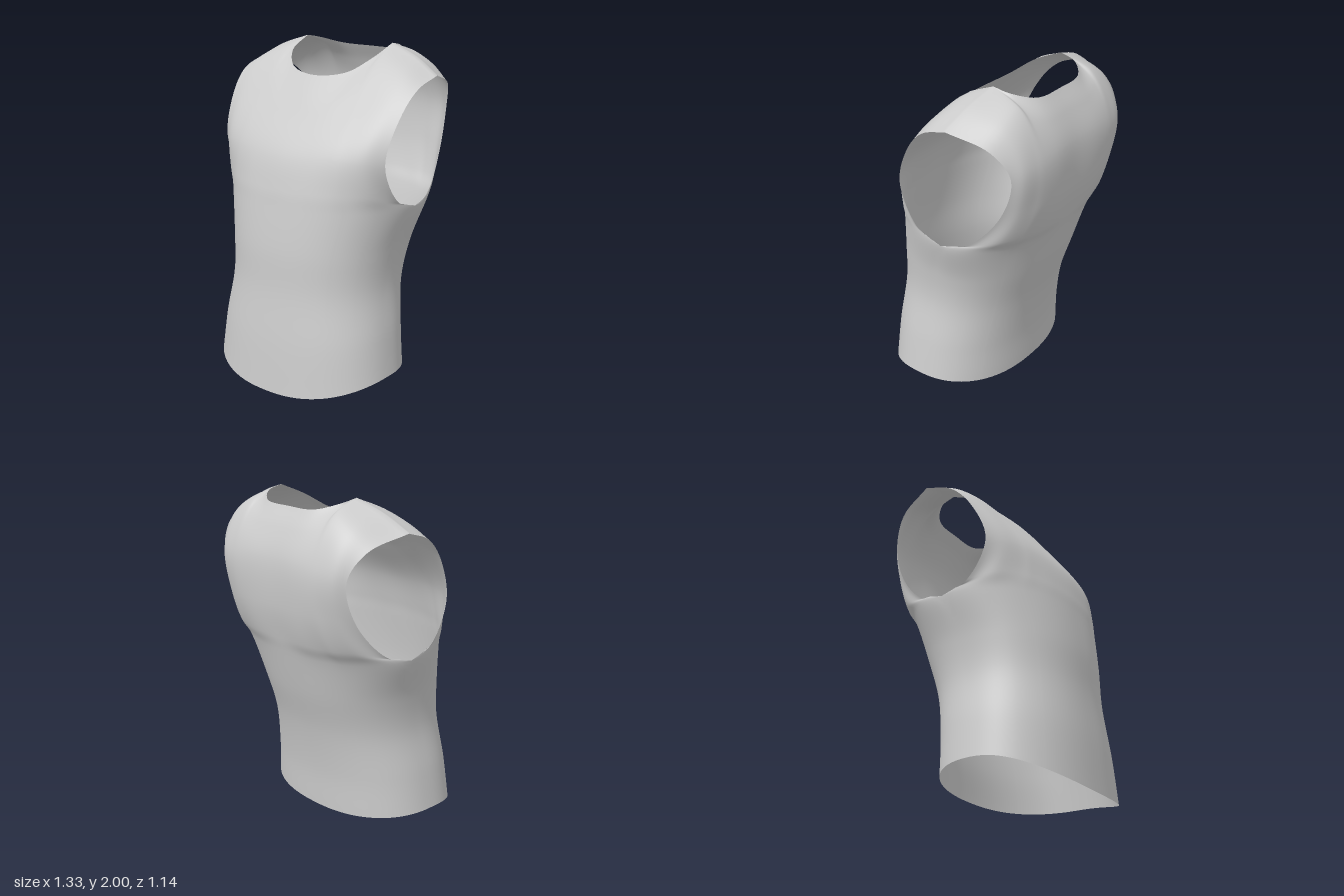
import * as THREE from 'three';
import { mergeGeometries, mergeVertices } from 'three/addons/utils/BufferGeometryUtils.js';

// Ring angles of the lengthwise columns, from one side seam to the other
const HALF = [90, 62, 40, 32, 18];
const ANGLES = [...HALF.map(a => -a), 0, ...HALF.slice().reverse()];
const SPANS = ANGLES.length - 1;

// Body rings, hem to armpit: side y, front y, back y, half width, side z, front z, back z
const RINGS = [
  [0.115, 0.0, 0.08, 0.60, 0.14, 0.57, -0.28],
  [0.35, 0.30, 0.33, 0.568, 0.12, 0.548, -0.297],
  [0.63, 0.61, 0.61, 0.525, 0.07, 0.515, -0.347],
  [0.86, 0.86, 0.86, 0.545, 0.02, 0.503, -0.422],
  [1.11, 1.11, 1.11, 0.61, -0.07, 0.472, -0.49],
];

// Yoke rows, armpit to shoulder: each from the armhole edge to the centre line
const FRONT = [
  [[.605, 1.17, .10], [.535, 1.21, .26], [.41, 1.22, .36], [.34, 1.22, .395], [.21, 1.22, .435], [0, 1.22, .455]],
  [[.60, 1.40, .22], [.51, 1.42, .29], [.39, 1.43, .335], [.32, 1.43, .355], [.20, 1.42, .38], [0, 1.41, .40]],
  [[.63, 1.65, .13], [.53, 1.68, .15], [.38, 1.69, .17], [.31, 1.67, .195], [.19, 1.63, .24], [0, 1.62, .255]],
  [[.652, 1.79, 0], [.53, 1.86, -.02], [.36, 1.91, -.03], [.31, 1.84, .05], [.20, 1.75, .14], [0, 1.73, .175]],
  [[.665, 1.85, -.17], [.50, 1.94, -.20], [.32, 2, -.22], [.30, 1.93, -.06], [.20, 1.85, .05], [0, 1.82, .10]],
];
const BACK = [
  [[.585, 1.16, -.24], [.51, 1.20, -.40], [.40, 1.20, -.47], [.33, 1.20, -.49], [.20, 1.20, -.515], [0, 1.20, -.515]],
  [[.535, 1.38, -.43], [.47, 1.40, -.50], [.38, 1.40, -.535], [.32, 1.40, -.55], [.20, 1.40, -.56], [0, 1.40, -.555]],
  [[.53, 1.62, -.49], [.47, 1.65, -.53], [.37, 1.66, -.55], [.31, 1.66, -.558], [.19, 1.66, -.563], [0, 1.66, -.555]],
  [[.59, 1.77, -.40], [.48, 1.86, -.42], [.35, 1.92, -.42], [.31, 1.87, -.46], [.19, 1.83, -.495], [0, 1.83, -.495]],
  [[.665, 1.85, -.17], [.50, 1.94, -.20], [.32, 2, -.22], [.305, 1.98, -.32], [.20, 1.945, -.415], [0, 1.94, -.43]],
];

// Smooth curve through points, with corners at the given indices
function spline(points, corners = []) {
  const stops = [0, ...corners, points.length - 1];
  const pieces = stops.slice(1).map((b, i) => ({
    a: stops[i], b, curve: new THREE.CatmullRomCurve3(points.slice(stops[i], b + 1)),
  }));
  return k => {
    const { a, b, curve } = pieces.find(p => k <= p.b);
    return curve.getPoint((k - a) / (b - a));
  };
}

// Rounded half ring, front or back
function ringRow([ySide, yFront, yBack, w, zSide, zFront, zBack], front) {
  return k => {
    const i = Math.min(Math.floor(k), SPANS - 1);
    const t = THREE.MathUtils.degToRad(THREE.MathUtils.lerp(ANGLES[i], ANGLES[i + 1], k - i));
    const s = Math.sin(t);
    const bulge = Math.pow(Math.max(Math.cos(t), 1e-9), 0.87);
    return new THREE.Vector3(
      w * Math.sign(s) * Math.pow(Math.abs(s), 0.87),
      ySide + ((front ? yFront : yBack) - ySide) * bulge * bulge,
      zSide + ((front ? zFront : zBack) - zSide) * bulge);
  };
}

// Mirrored yoke row; the last one has corners at the neck points
function yokeRow(half, isTop) {
  const left = half.map(p => new THREE.Vector3(-p[0], p[1], p[2]));
  const right = half.slice(0, -1).reverse().map(p => new THREE.Vector3(...p));
  return spline([...left, ...right], isTop ? [2, 8] : []);
}

// One cloth panel from hem to shoulder
function panel(yoke, front) {
  const nu = SPANS * 7, nv = 72;
  const rows = [
    ...RINGS.map(r => ringRow(r, front)),
    ...yoke.map((r, i) => yokeRow(r, i === yoke.length - 1)),
  ];
  const armpit = RINGS.length - 1;
  const position = [], index = [];
  for (let i = 0; i <= nu; i++) {
    const edge = i === 0 || i === nu;
    const column = spline(rows.map(row => row(i / nu * SPANS)), edge ? [armpit] : []);
    for (let j = 0; j <= nv; j++) position.push(...column(j / nv * (rows.length - 1)).toArray());
  }
  for (let i = 0; i < nu; i++) {
    for (let j = 0; j < nv; j++) {
      const a = i * (nv + 1) + j, b = a + nv + 1;
      if (front) index.push(a, b, b + 1, a, b + 1, a + 1);
      else index.push(a, b + 1, b, a, a + 1, b + 1);
    }
  }
  const geometry = new THREE.BufferGeometry();
  geometry.setAttribute('position', new THREE.Float32BufferAttribute(position, 3));
  geometry.setIndex(index);
  return geometry;
}

export function createModel() {
  const cloth = new THREE.MeshStandardMaterial({ color: 0xcccccc, side: THREE.DoubleSide });
  cloth.name = 'light grey cloth';

  // Front and back sewn together along the sides and shoulders
  const geometry = mergeVertices(mergeGeometries([panel(FRONT, true), panel(BACK, false)]), 1e-4);
  geometry.computeVertexNormals();

  const shirt = new THREE.Mesh(geometry, cloth);
  shirt.name = 'sleevelessShirt';
  const group = new THREE.Group();
  group.name = 'sleevelessTop';
  group.add(shirt);
  return group;
}
